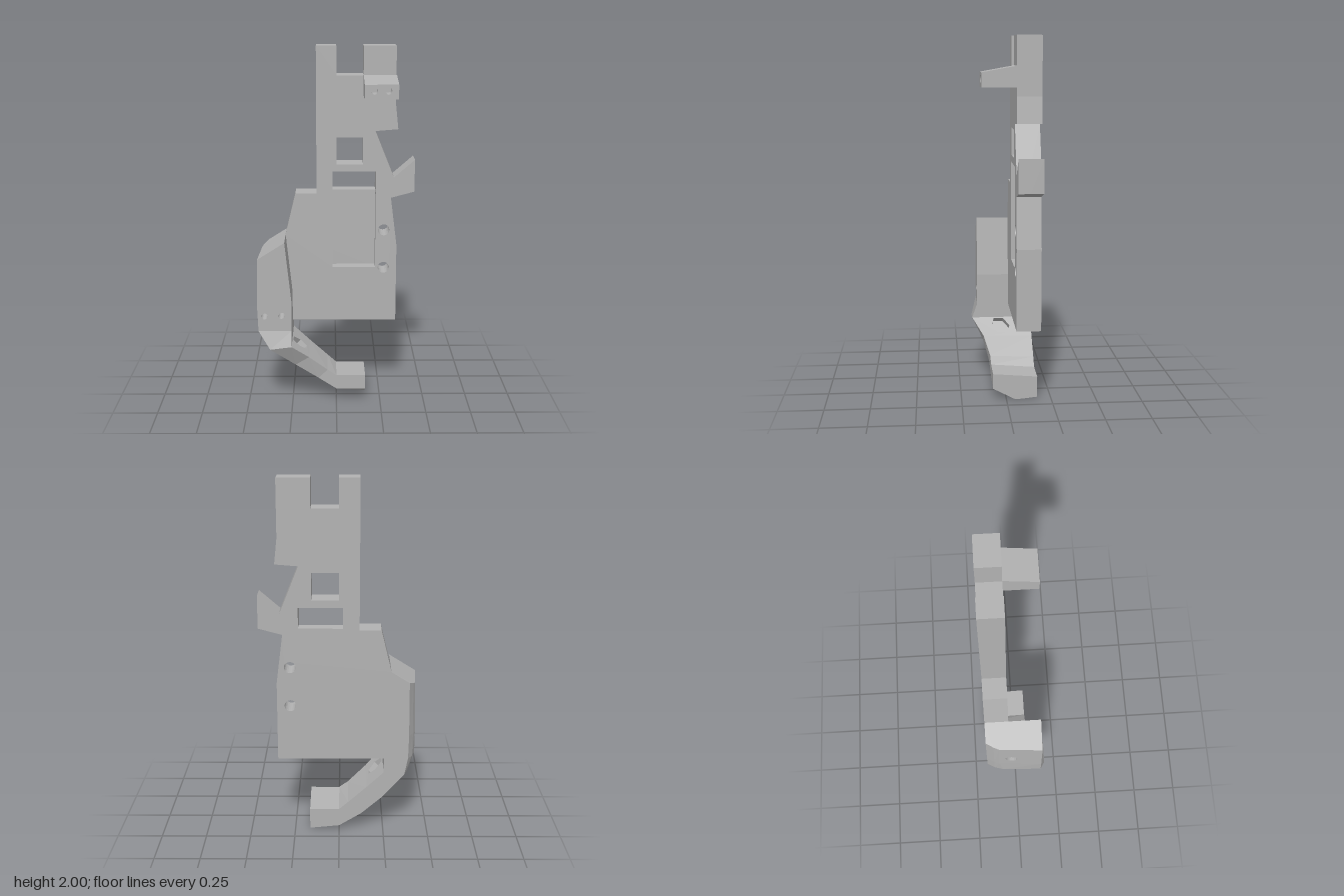
import * as THREE from 'three';

const grey = new THREE.MeshStandardMaterial({ color: 0xb2b2b2 });
grey.name = 'plain grey';

const V = (x, y, z) => new THREE.Vector3(x, y, z);

function facetMesh(name, verts) {
  const g = new THREE.BufferGeometry().setFromPoints(verts);
  g.computeVertexNormals();
  const m = new THREE.Mesh(g, grey);
  m.name = name;
  return m;
}

// Four-sided face; blind holes are given as { u, v, ru, rv, sides, depth }
function patch(out, a, b, c, d, holes) {
  if (!holes) {
    out.push(a, b, c, a, c, d);
    return;
  }
  const at = (u, v) => a.clone().lerp(b, u).lerp(d.clone().lerp(c, u), v);
  const n = c.clone().sub(a).cross(d.clone().sub(b)).normalize();
  const shape = new THREE.Shape([[0, 0], [1, 0], [1, 1], [0, 1]].map(p => new THREE.Vector2(...p)));
  for (const h of holes) {
    const ring = [];
    for (let i = 0; i < h.sides; i++) {
      const t = (i / h.sides) * Math.PI * 2;
      ring.push(new THREE.Vector2(h.u + h.ru * Math.cos(t), h.v + h.rv * Math.sin(t)));
    }
    shape.holes.push(new THREE.Path(ring));
    // Hole wall and floor
    const top = ring.map(p => at(p.x, p.y));
    const low = top.map(p => p.clone().addScaledVector(n, -h.depth));
    top.forEach((p, i) => {
      const j = (i + 1) % h.sides;
      out.push(p, top[j], low[j], p, low[j], low[i]);
      if (i > 0 && j > 0) out.push(low[0], low[i], low[j]);
    });
  }
  const pos = new THREE.ShapeGeometry(shape).toNonIndexed().attributes.position;
  for (let i = 0; i < pos.count; i++) out.push(at(pos.getX(i), pos.getY(i)));
}

// Skin through cross-sections; holes are keyed "segment,side"
function loft(name, sections, holes = {}) {
  const out = [];
  const n = sections[0].length;
  for (let s = 0; s < sections.length - 1; s++) {
    const A = sections[s], B = sections[s + 1];
    for (let k = 0; k < n; k++) {
      const j = (k + 1) % n;
      patch(out, A[k], A[j], B[j], B[k], holes[`${s},${k}`]);
    }
  }
  const first = sections[0], last = sections[sections.length - 1];
  for (let k = 1; k < n - 1; k++) {
    out.push(first[0], first[k + 1], first[k], last[0], last[k], last[k + 1]);
  }
  return facetMesh(name, out);
}

const rect = (x0, y0, x1, y1) =>
  new THREE.Path([[x0, y0], [x1, y0], [x1, y1], [x0, y1]].map(p => new THREE.Vector2(...p)));

// One layer of the flat plate, with its window or pocket opening
function plateLayer(name, z0, z1, openingBottom) {
  const outline = [
    [-0.11, 2], [-0.11, 1.19], [-0.228, 1.19], [-0.285, 0.955], [-0.25, 0.62], [-0.25, 0.445],
    [0.34, 0.445], [0.34, 0.89], [0.305, 1.165], [0.435, 1.2], [0.435, 1.38], [0.32, 1.28],
    [0.215, 1.54], [0.34, 1.55], [0.325, 1.69], [0.325, 2], [0.148, 2], [0.148, 1.843], [0, 1.843], [0, 2],
  ];
  const shape = new THREE.Shape(outline.map(p => new THREE.Vector2(...p)));
  shape.holes.push(rect(0, 1.355, 0.148, 1.505), rect(-0.02, openingBottom, 0.22, 1.315));
  for (const y of [0.98, 0.76]) {
    shape.holes.push(new THREE.Path().absarc(0.267, y, 0.032, 0, Math.PI * 2, true));
  }
  const g = new THREE.ExtrudeGeometry(shape, { depth: z1 - z0, bevelEnabled: false, curveSegments: 10 });
  g.translate(0, 0, z0);
  const m = new THREE.Mesh(g, grey);
  m.name = name;
  return m;
}

export function createModel() {
  const model = new THREE.Group();
  model.name = 'bracketWithHook';

  // Flat plate: window cut right through, shallow pocket in the front
  model.add(plateLayer('plateBack', -0.172, -0.1, 1.2));
  model.add(plateLayer('plateFront', -0.1, -0.04, 0.763));

  // Wedge lug near the top with two screw holes
  const lugSection = x => [V(x, 1.735, 0.142), V(x, 1.735, -0.04), V(x, 1.845, -0.04), V(x, 1.812, 0.142)];
  const lugHole = v => ({ u: 0.44, v, ru: 0.24, rv: 0.1, sides: 16, depth: 0.1 });
  model.add(loft('lug', [lugSection(0.148), lugSection(0.328)], { '0,3': [lugHole(0.29), lugHole(0.7)] }));

  // Side block flowing down into the curved hook:
  // inner back, inner front, outer front, outer middle, outer chamfer, outer back
  const B = -0.172;
  const grip = [
    [V(-0.285, 0.955, B), V(-0.285, 0.955, 0.142), V(-0.435, 0.86, 0.142), V(-0.42, 0.87, -0.1), V(-0.408, 0.878, -0.13), V(-0.385, 0.892, B)],
    [V(-0.25, 0.62, B), V(-0.25, 0.62, 0.142), V(-0.44, 0.58, 0.142), V(-0.425, 0.58, -0.1), V(-0.412, 0.58, -0.13), V(-0.388, 0.58, B)],
    [V(-0.25, 0.445, B), V(-0.25, 0.445, 0.142), V(-0.435, 0.445, 0.142), V(-0.425, 0.445, -0.08), V(-0.41, 0.445, -0.13), V(-0.385, 0.445, B)],
    [V(-0.25, 0.36, B), V(-0.25, 0.36, 0.172), V(-0.37, 0.345, 0.172), V(-0.39, 0.35, -0.05), V(-0.385, 0.35, -0.12), V(-0.365, 0.345, B)],
    [V(-0.155, 0.27, B), V(-0.155, 0.275, 0.11), V(-0.23, 0.23, 0.11), V(-0.265, 0.2, -0.045), V(-0.26, 0.2, -0.12), V(-0.245, 0.21, B)],
    [V(-0.05, 0.175, B), V(-0.05, 0.185, 0.077), V(-0.1, 0.135, 0.08), V(-0.13, 0.1, -0.045), V(-0.13, 0.1, -0.12), V(-0.125, 0.105, B)],
    [V(0, 0.13, B), V(0, 0.15, 0.075), V(0, 0.067, 0.075), V(0, 0.018, -0.05), V(0, 0.02, -0.12), V(0, 0.028, B)],
    [V(0.165, 0.13, B), V(0.165, 0.15, 0.075), V(0.165, 0.065, 0.075), V(0.165, 0, -0.05), V(0.165, 0.005, -0.11), V(0.165, 0.012, B)],
  ];
  model.add(loft('sideBlockAndHook', grip, {
    // Round hole in the outer side
    '0,2': [{ u: 0.71, v: 0.64, ru: 0.145, rv: 0.125, sides: 16, depth: 0.08 }],
    // Pair of screw holes in the front
    '1,1': [
      { u: 0.29, v: 0.45, ru: 0.096, rv: 0.11, sides: 16, depth: 0.1 },
      { u: 0.8, v: 0.4, ru: 0.096, rv: 0.12, sides: 16, depth: 0.1 },
    ],
    // Hexagonal nut recess on the inner slope
    '3,0': [{ u: 0.56, v: 0.45, ru: 0.16, rv: 0.45, sides: 6, depth: 0.035 }],
  }));

  return model;
}
